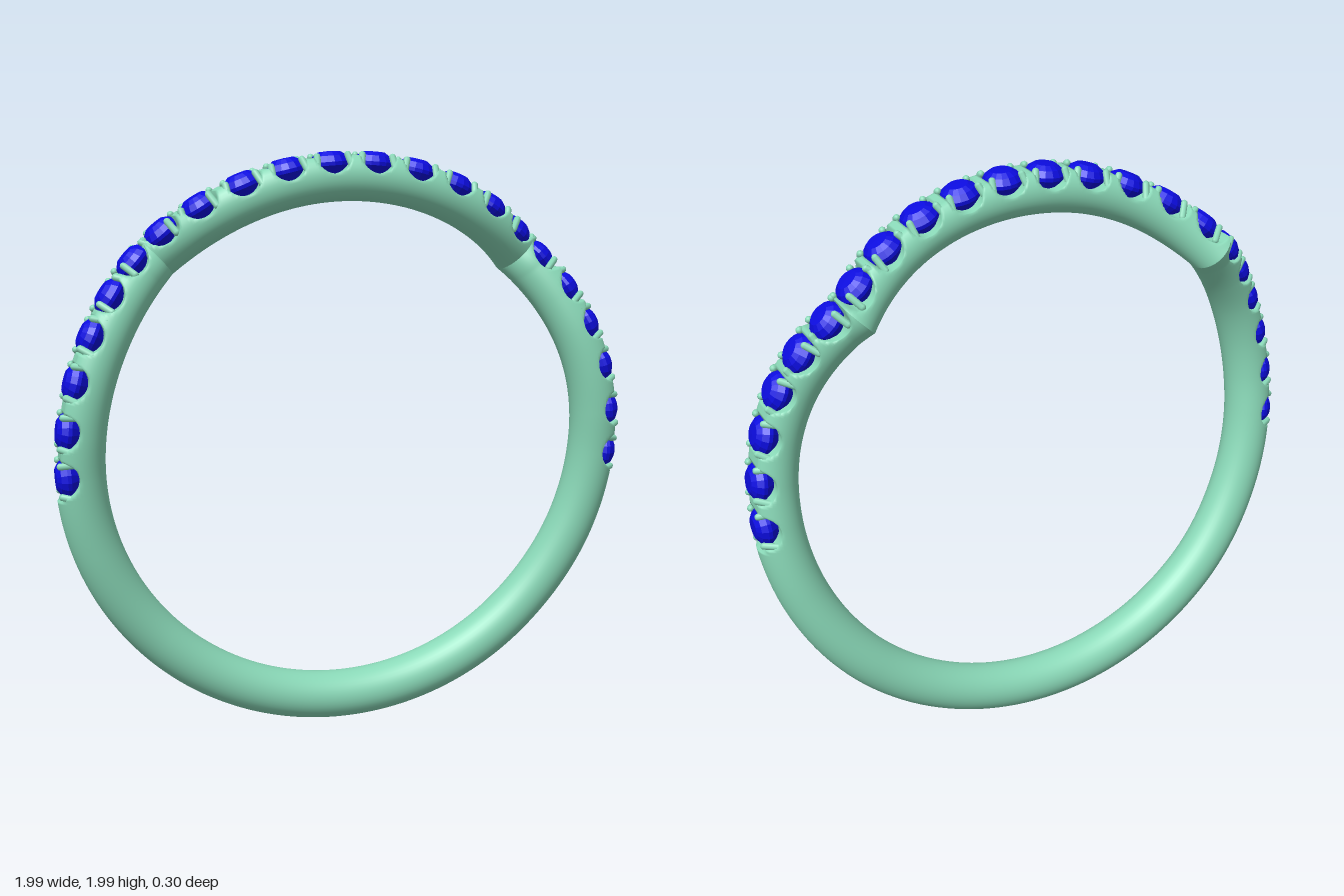
import * as THREE from 'three';

const R = 0.913, TUBE = 0.083, CY = 1.003, CUSP = 44.5;
const DEG = Math.PI / 180;
// gem angles from the top, mirrored to both sides
const GEMS = [4.5, 13.5, 22.6, 31.8, 40.4, 48.3, 56.5, 65.1, 74.4, 84, 93.3];
// sideways sway of the band below the cusp: [angle, z]
const SWAY = [[44.5, -0.057], [48.3, -0.028], [56.5, 0.015], [65.1, 0.045], [74.4, 0.056],
  [84, 0.05], [93.3, 0.032], [110, 0], [135, -0.043], [180, -0.067], [225, -0.043]];

const fold = (deg) => { const a = Math.abs(deg); return a > 180 ? 360 - a : a; };

// z of the band's centre line at an angle
function sway(deg) {
  const a = fold(deg);
  if (a <= CUSP) return 0.067 - 0.124 * (a / CUSP) ** 3;
  let i = 0;
  while (i < SWAY.length - 3 && a > SWAY[i + 1][0]) i++;
  const tangent = (k) => k === 0 ? 0.00836
    : (SWAY[k + 1][1] - SWAY[k - 1][1]) / (SWAY[k + 1][0] - SWAY[k - 1][0]);
  const [a0, z0] = SWAY[i], [a1, z1] = SWAY[i + 1], h = a1 - a0, t = (a - a0) / h;
  const t2 = t * t, t3 = t2 * t;
  return z0 * (2 * t3 - 3 * t2 + 1) + z1 * (3 * t2 - 2 * t3)
    + h * (tangent(i) * (t3 - 2 * t2 + t) + tangent(i + 1) * (t3 - t2));
}

// sideways slope, sampled inside the range lo..hi so the cusp stays sharp
function slope(deg, lo, hi) {
  const p = Math.max(lo, deg - 0.05), q = Math.min(hi, deg + 0.05);
  return (sway(q) - sway(p)) / ((q - p) * DEG * R);
}

// outer limit of the metal: scalloped seats around each gem
function rimLimit(deg) {
  const a = fold(deg);
  if (a > 97.6) return 2;
  const d = Math.min(...GEMS.map((g) => Math.abs(a - g))) * DEG * 0.96;
  return 0.978 - 0.056 * Math.sqrt(Math.max(0, 1 - (d / 0.058) ** 2));
}

// band section swept from one angle to another, mitred at the cusps
function bandSection(lo, hi) {
  const n = Math.round((hi - lo) / 0.4), m = 40, pos = [], idx = [];
  for (let i = 0; i <= n; i++) {
    const deg = lo + (hi - lo) * i / n, th = deg * DEG;
    const limit = rimLimit(deg), z = sway(deg), w = TUBE * Math.hypot(1, slope(deg, lo, hi));
    for (let j = 0; j < m; j++) {
      const phi = j / m * Math.PI * 2;
      const r = Math.min(R + TUBE * Math.cos(phi), limit);
      pos.push(r * Math.sin(th), CY + r * Math.cos(th), z + w * Math.sin(phi));
      if (i < n) {
        const a = i * m + j, b = i * m + (j + 1) % m;
        idx.push(a, b, a + m, b, b + m, a + m);
      }
    }
  }
  const g = new THREE.BufferGeometry();
  g.setAttribute('position', new THREE.Float32BufferAttribute(pos, 3));
  g.setIndex(idx);
  g.computeVertexNormals();
  return g;
}

export function createModel() {
  const model = new THREE.Group();
  model.name = 'ring';
  const metal = new THREE.MeshStandardMaterial({ color: 0x8ad9b8 });
  const blue = new THREE.MeshStandardMaterial({ color: 0x0c0ce0, flatShading: true });
  const add = (parent, name, geometry, material) => {
    const mesh = new THREE.Mesh(geometry, material);
    mesh.name = name;
    parent.add(mesh);
    return mesh;
  };

  // plain and jewelled parts of the band
  add(model, 'upperBand', bandSection(-CUSP, CUSP), metal);
  add(model, 'lowerBand', bandSection(CUSP, 360 - CUSP), metal);

  // cut gem: pavilion, girdle, crown, table; heights are distances from the ring centre
  const gemGeo = new THREE.LatheGeometry([[0, 0.9], [0.042, 0.918], [0.066, 0.948],
    [0.067, 0.96], [0.055, 0.98], [0.036, 0.993], [0, 0.995]]
    .map(([x, y]) => new THREE.Vector2(x, y)), 16);
  const prongGeo = new THREE.CapsuleGeometry(0.012, 0.05, 4, 8);
  const up = new THREE.Vector3(0, 1, 0);

  for (const side of [-1, 1]) for (const g of GEMS) {
    const deg = side * g, th = deg * DEG;
    const radial = new THREE.Vector3(Math.sin(th), Math.cos(th), 0);
    const along = new THREE.Vector3(Math.cos(th), -Math.sin(th), slope(deg, -180, 180)).normalize();
    const setting = new THREE.Group();
    setting.name = 'gemSetting';
    setting.quaternion.setFromRotationMatrix(
      new THREE.Matrix4().makeBasis(along, radial, along.clone().cross(radial)));
    setting.position.set(0, CY, sway(deg));
    add(setting, 'gem', gemGeo, blue);
    // four prongs leaning in over the gem's corners
    for (const sx of [-1, 1]) for (const sz of [-1, 1]) {
      const foot = new THREE.Vector3(sx * 0.06, 0.935, sz * 0.066);
      const tip = new THREE.Vector3(sx * 0.052, 0.98, sz * 0.04);
      const prong = add(setting, 'prong', prongGeo, metal);
      prong.position.copy(foot).lerp(tip, 0.5);
      prong.quaternion.setFromUnitVectors(up, tip.sub(foot).normalize());
    }
    model.add(setting);
  }
  return model;
}
